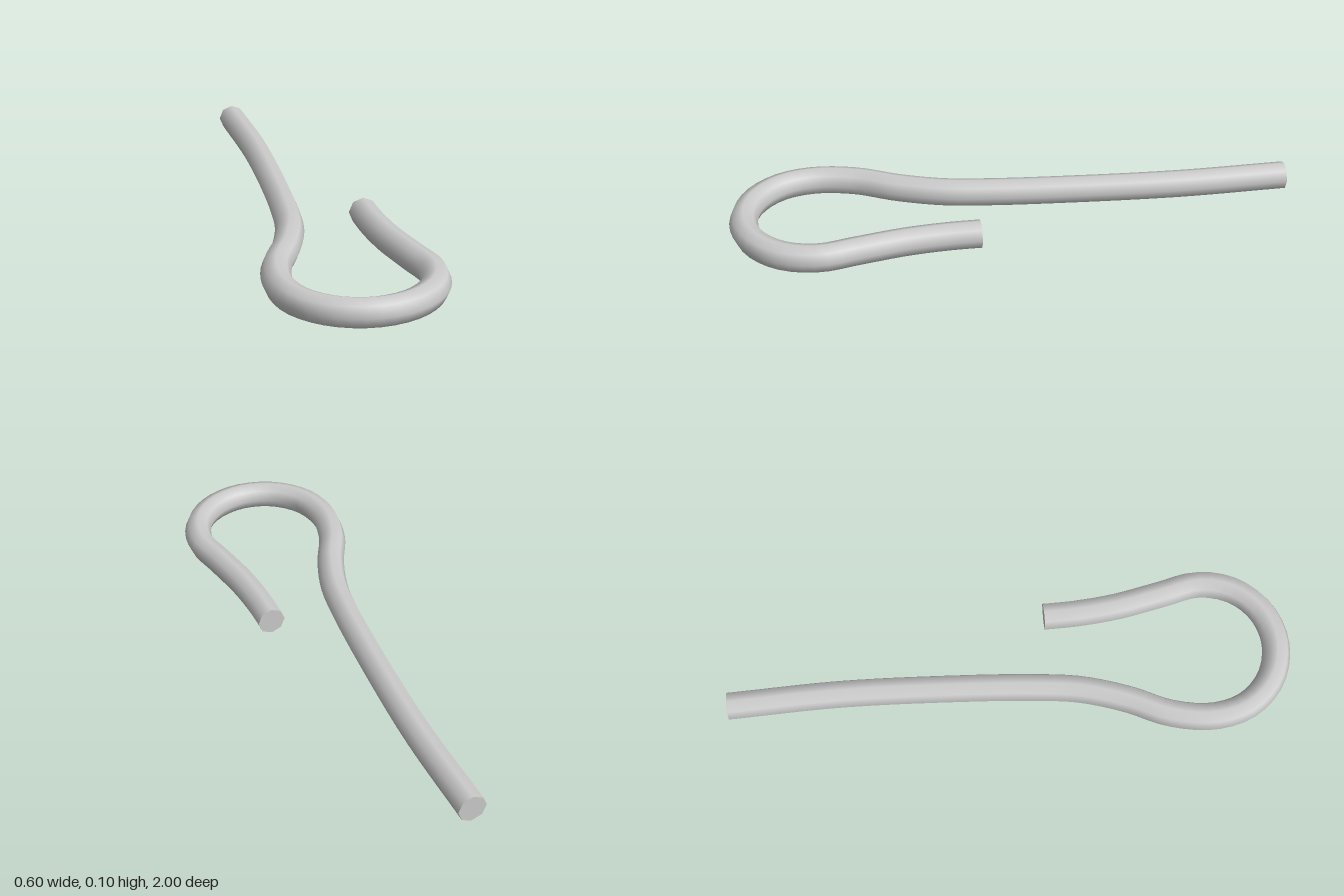
import * as THREE from 'three';

const RADIUS = 0.05;
const SIDES = 8;

export function createModel() {
  const group = new THREE.Group();
  group.name = 'bentWireHook';
  const material = new THREE.MeshStandardMaterial({ color: 0xcccccc });

  // Centre line in plan (x, z): long shank, round loop, short return arm
  const shank = [[-0.08, -1], [-0.067, -0.6], [-0.078, -0.2], [-0.095, 0.08],
    [-0.115, 0.24], [-0.163, 0.4], [-0.228, 0.55]];
  const loop = [];
  for (let i = 0; i <= 6; i++) {
    const a = Math.PI * (1 - i / 6);
    loop.push([0.25 * Math.cos(a), 0.7 + 0.25 * Math.sin(a)]);
  }
  const arm = [[0.222, 0.56], [0.189, 0.4], [0.173, 0.25], [0.17, 0.135]];
  const path = new THREE.CatmullRomCurve3(
    [...shank, ...loop, ...arm].map(([x, z]) => new THREE.Vector3(x, RADIUS, z)));

  const wire = new THREE.Mesh(new THREE.TubeGeometry(path, 80, RADIUS, SIDES), material);
  wire.name = 'wire';
  group.add(wire);

  // Flat cut ends
  for (const [t, name] of [[0, 'shankEnd'], [1, 'armEnd']]) {
    const cap = new THREE.Mesh(new THREE.CircleGeometry(RADIUS, SIDES), material);
    cap.name = name;
    const outward = path.getTangentAt(t).multiplyScalar(t ? 1 : -1);
    cap.position.copy(path.getPointAt(t));
    cap.lookAt(cap.position.clone().add(outward));
    group.add(cap);
  }
  return group;
}
